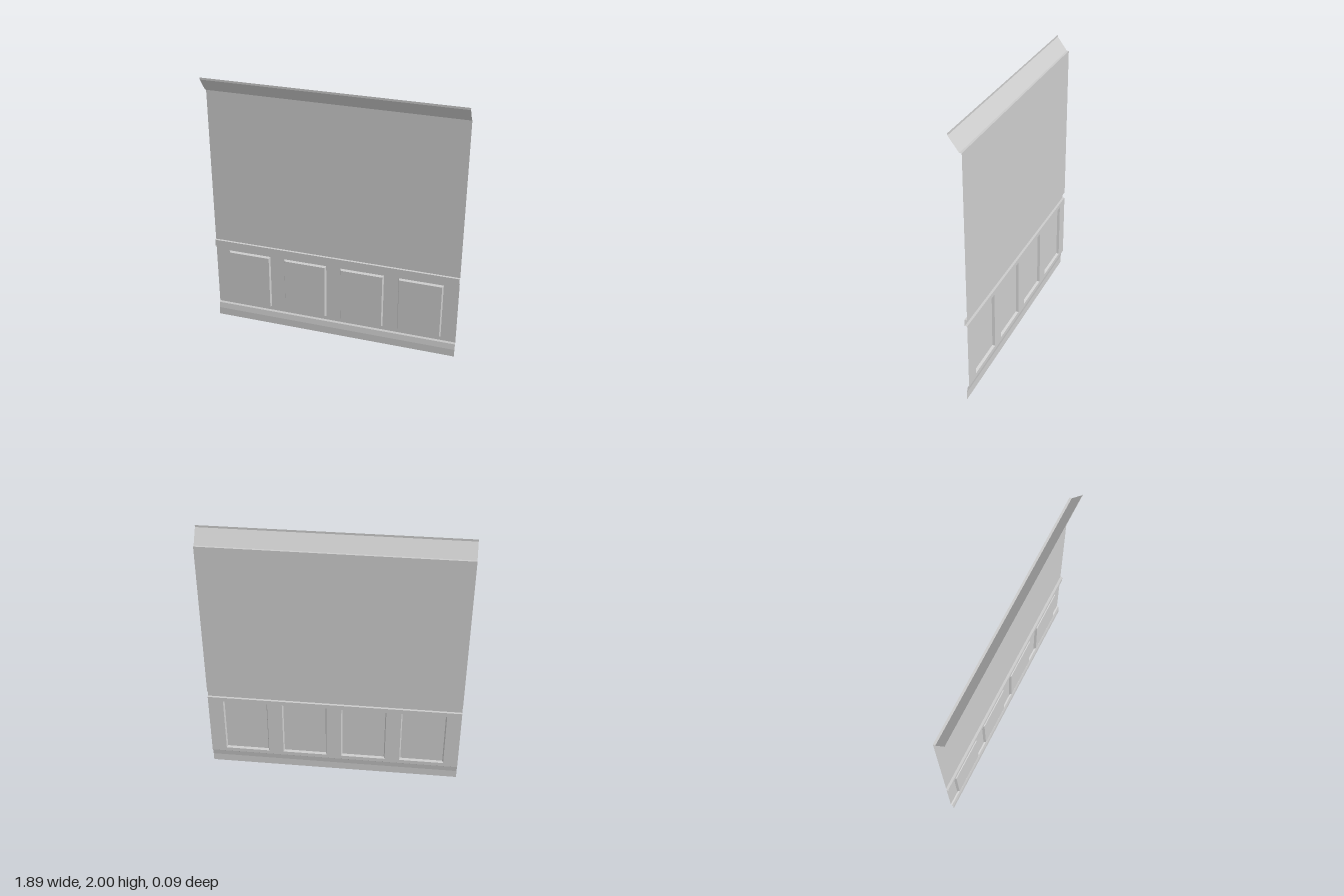
import * as THREE from 'three';

const HALF = 0.945;    // half width of the wall
const BACK = -0.045;   // plane of the wall
const FRONT = -0.027;  // plane of raised mouldings

const material = new THREE.MeshStandardMaterial({
  color: 0xcccccc, flatShading: true, side: THREE.DoubleSide,
});

function named(name, geometry) {
  const mesh = new THREE.Mesh(geometry, material);
  mesh.name = name;
  return mesh;
}

// Geometry from four-cornered faces, corners counter-clockwise
function fromQuads(quads) {
  const points = quads.flatMap(([a, b, c, d]) => [a, b, c, a, c, d]);
  const geometry = new THREE.BufferGeometry();
  geometry.setAttribute('position', new THREE.Float32BufferAttribute(points.flat(), 3));
  geometry.computeVertexNormals();
  return geometry;
}

// Open sheet: a [y, z] profile, bottom to top, swept across the full width
function strip(name, profile) {
  const quads = [];
  for (let i = 0; i < profile.length - 1; i++) {
    const [y0, z0] = profile[i];
    const [y1, z1] = profile[i + 1];
    quads.push([[-HALF, y0, z0], [HALF, y0, z0], [HALF, y1, z1], [-HALF, y1, z1]]);
  }
  return named(name, fromQuads(quads));
}

// Corners of a rectangle, counter-clockwise seen from the front
const corners = (x, y, w, h, z) => [
  [x - w / 2, y - h / 2, z], [x + w / 2, y - h / 2, z],
  [x + w / 2, y + h / 2, z], [x - w / 2, y + h / 2, z],
];

export function createModel() {
  const group = new THREE.Group();
  group.name = 'panelledWall';

  // Mouldings and the plain upper wall
  group.add(strip('baseboard', [[0, FRONT], [0.06, FRONT], [0.105, -0.034], [0.115, BACK]]));
  group.add(strip('chairRail', [[0.625, BACK], [0.625, FRONT], [0.675, FRONT], [0.675, BACK]]));
  group.add(strip('upperWall', [[0.675, BACK], [1.885, BACK]]));
  group.add(strip('crownMoulding', [[1.885, BACK], [1.885, -0.029], [1.985, 0.045], [2, 0.045]]));

  // Lower wall, cut open behind each raised panel
  const wall = new THREE.Shape([
    [-HALF, 0.115], [HALF, 0.115], [HALF, 0.625], [-HALF, 0.625],
  ].map(([x, y]) => new THREE.Vector2(x, y)));

  const width = 0.334, height = 0.445, centreY = 0.368, bevel = 0.008;
  for (let i = 0; i < 4; i++) {
    const x = (i - 1.5) * 0.445 - 0.003;
    const outer = corners(x, centreY, width, height, BACK);
    const inner = corners(x, centreY, width - 2 * bevel, height - 2 * bevel, FRONT);
    wall.holes.push(new THREE.Path(outer.map(([px, py]) => new THREE.Vector2(px, py))));

    // Flat face with four slanted sides
    const sides = outer.map((corner, k) => {
      const next = (k + 1) % 4;
      return [corner, outer[next], inner[next], inner[k]];
    });
    group.add(named(`raisedPanel${i + 1}`, fromQuads([inner, ...sides])));
  }
  group.add(named('lowerWall', new THREE.ShapeGeometry(wall).translate(0, 0, BACK)));

  return group;
}
